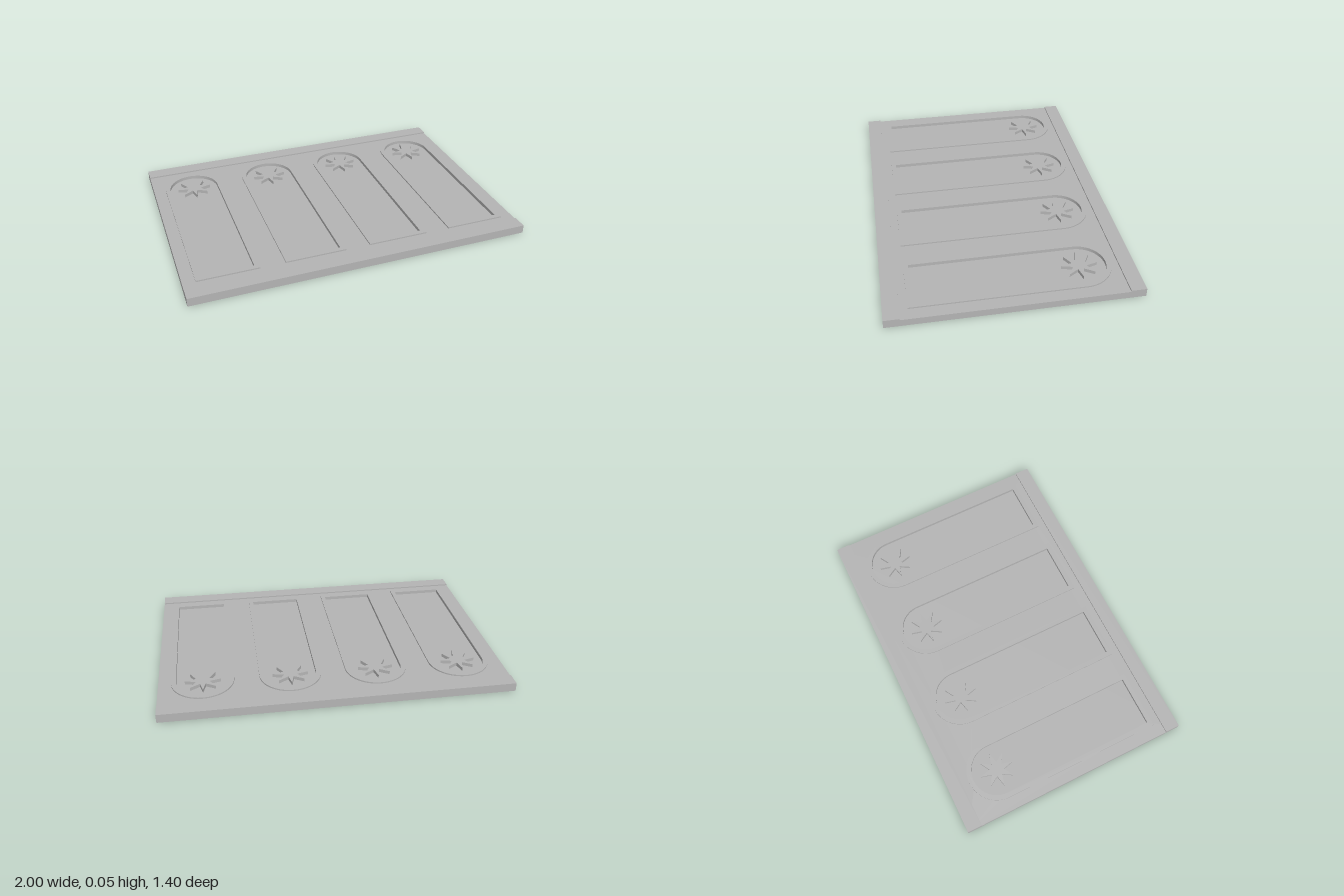
import * as THREE from 'three';

const WIDTH = 2, DEPTH = 1.4, FLOOR = 0.03, FIELD = 0.042, TOP = 0.05;
const ARCH_X = [-0.75, -0.25, 0.25, 0.75];
const SPRING = 0.395, RADIUS = 0.15, SILL = -0.54, RIM = 0.028;

// Plan outlines are drawn with +y towards the back.
function archOutline(target, cx, grow) {
  const r = RADIUS + grow;
  target.moveTo(cx - r, SILL - grow);
  target.lineTo(cx + r, SILL - grow);
  target.lineTo(cx + r, SPRING);
  target.absarc(cx, SPRING, r, 0, Math.PI, false);
  target.closePath();
  return target;
}

function starOutline(cx) {
  const points = [];
  for (let i = 0; i < 16; i++) {
    const r = i % 2 ? 0.042 : 0.102;
    const a = Math.PI / 2 + (i * Math.PI) / 8;
    points.push(new THREE.Vector2(cx + r * Math.cos(a), SPRING + r * Math.sin(a)));
  }
  return new THREE.Shape(points);
}

// Extrude a plan outline upwards between two heights.
function slab(shape, bottom, top) {
  const geometry = new THREE.ExtrudeGeometry(shape, {
    depth: top - bottom, bevelEnabled: false, curveSegments: 32,
  });
  return geometry.rotateX(-Math.PI / 2).translate(0, bottom, 0);
}

export function createModel() {
  const model = new THREE.Group();
  model.name = 'archedPanel';
  const grey = new THREE.MeshStandardMaterial({ color: 0xb4b4b4 });
  grey.name = 'grey';

  const add = (name, geometry) => {
    const mesh = new THREE.Mesh(geometry, grey);
    mesh.name = name;
    model.add(mesh);
    return mesh;
  };

  // Backing plate that forms the recess floors
  add('backingPlate', new THREE.BoxGeometry(WIDTH, FLOOR, DEPTH).translate(0, FLOOR / 2, 0));

  // Panel face pierced by the arches
  const face = new THREE.Shape();
  face.moveTo(-WIDTH / 2, -DEPTH / 2);
  face.lineTo(WIDTH / 2, -DEPTH / 2);
  face.lineTo(WIDTH / 2, DEPTH / 2);
  face.lineTo(-WIDTH / 2, DEPTH / 2);
  face.closePath();
  for (const x of ARCH_X) face.holes.push(archOutline(new THREE.Path(), x, 0));
  add('panelFace', slab(face, FLOOR, FIELD));

  // Raised bands along the two long edges
  for (const side of [-1, 1]) {
    const band = add(side > 0 ? 'frontBand' : 'backBand',
      new THREE.BoxGeometry(WIDTH, TOP - FIELD, 0.087));
    band.position.set(0, (TOP + FIELD) / 2, side * (DEPTH / 2 - 0.0435));
  }

  // Raised rim and star for each arch
  for (const x of ARCH_X) {
    const rim = archOutline(new THREE.Shape(), x, RIM);
    rim.holes.push(archOutline(new THREE.Path(), x, 0));
    add('archRim', slab(rim, FIELD, TOP));
    add('star', slab(starOutline(x), FLOOR, TOP));
  }
  return model;
}
